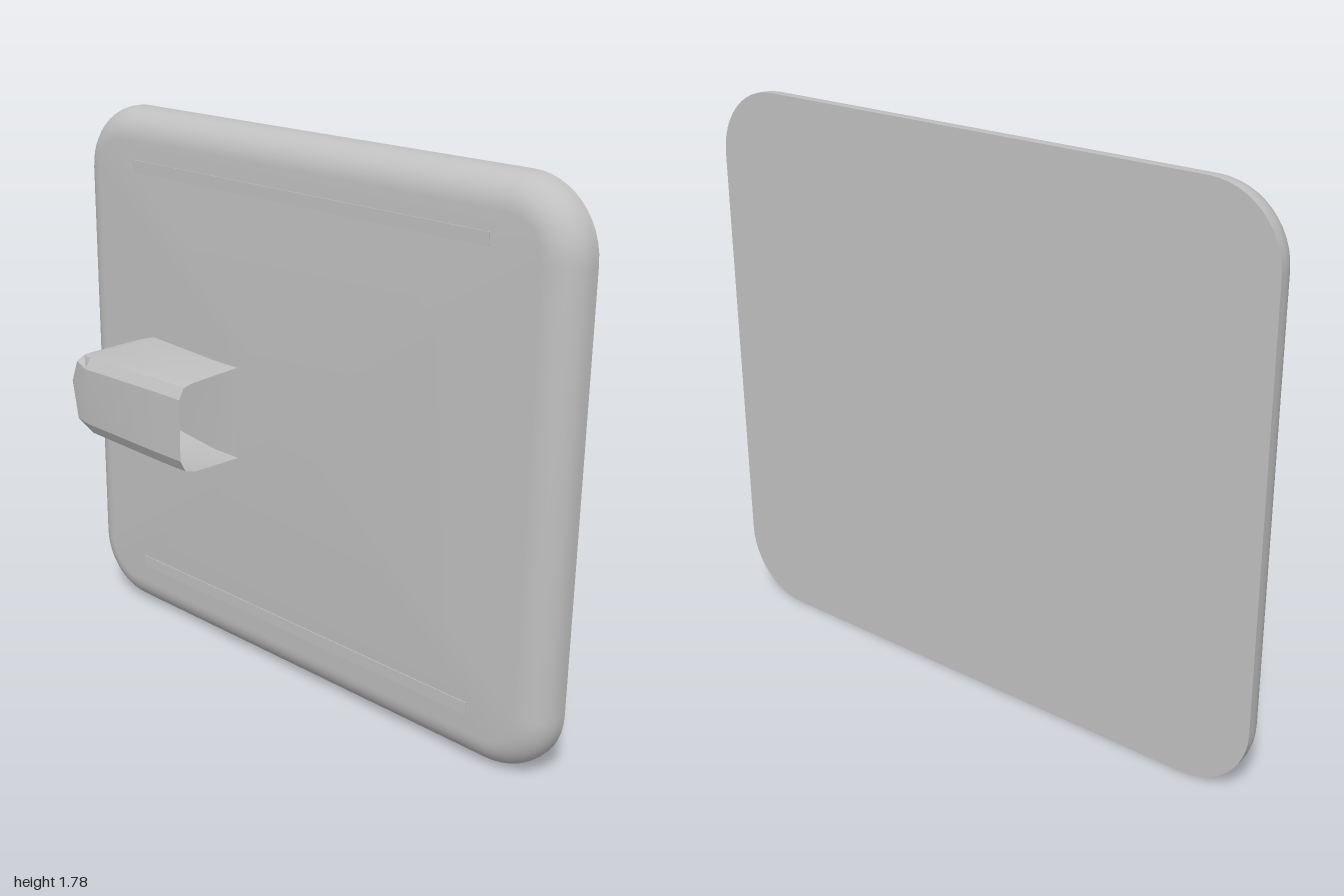
import * as THREE from 'three';
import { toCreasedNormals } from 'three/addons/utils/BufferGeometryUtils.js';

// Skin a series of closed rings of [x, y, z] points, with optional end caps
function loft(rings, capStart, capEnd, crease) {
  const n = rings[0].length;
  const pos = rings.flat(2);
  const index = [];
  for (let i = 0; i < rings.length - 1; i++) {
    for (let j = 0; j < n; j++) {
      const a = i * n + j, b = i * n + (j + 1) % n;
      index.push(a, b, b + n, a, b + n, a + n);
    }
  }
  const cap = (k, flip) => {
    const c = pos.length / 3;
    for (let d = 0; d < 3; d++) pos.push(rings[k].reduce((s, p) => s + p[d], 0) / n);
    for (let j = 0; j < n; j++) {
      const a = k * n + j, b = k * n + (j + 1) % n;
      if (flip) index.push(c, b, a); else index.push(c, a, b);
    }
  };
  if (capStart) cap(0, true);
  if (capEnd) cap(rings.length - 1, false);
  const g = new THREE.BufferGeometry();
  g.setAttribute('position', new THREE.Float32BufferAttribute(pos, 3));
  g.setIndex(index);
  return toCreasedNormals(g, crease);
}

// Rounded rectangle outline of the panel, pulled in by inset
function panelRing(inset, z) {
  const R = 0.22, r = R - inset, steps = 12, ring = [];
  const corners = [[1, 1], [-1, 1], [-1, -1], [1, -1]];
  corners.forEach(([sx, sy], q) => {
    for (let i = 0; i <= steps; i++) {
      const t = (q + i / steps) * Math.PI / 2;
      ring.push([sx * (1 - R) + r * Math.cos(t), 0.89 + sy * (0.89 - R) + r * Math.sin(t), z]);
    }
  });
  return ring;
}

export function createModel() {
  const group = new THREE.Group();
  const grey = new THREE.MeshStandardMaterial({ color: 0xc0c0c0, side: THREE.DoubleSide });
  grey.name = 'light grey';
  const add = (name, geometry) => {
    const m = new THREE.Mesh(geometry, grey);
    m.name = name;
    group.add(m);
    return m;
  };

  // Panel: flat back, softly rounded front rim
  const rings = [panelRing(0, -0.213)];
  for (let i = 0; i <= 10; i++) {
    const t = i / 10 * Math.PI / 2;
    rings.push(panelRing(0.1 * (1 - Math.cos(t)), -0.195 + 0.095 * Math.sin(t)));
  }
  add('panel', loft(rings, true, true, 0.6));

  // Faint raised strips along the top and bottom of the face
  for (const [name, y] of [['topStrip', 1.6], ['bottomStrip', 0.18]]) {
    add(name, new THREE.BoxGeometry(1.46, 0.04, 0.006)).position.set(0, y, -0.1);
  }

  // Handle: hollow tapered sleeve, open on the +x end. Section points are [z, y].
  const mouth = [[-0.035, 0.745], [0.15, 0.75], [0.19, 0.762], [0.21, 0.80], [0.21, 0.92],
    [0.21, 1.0], [0.19, 1.035], [0.15, 1.042], [-0.035, 1.048]];
  const section = (x, backZ, squeeze) => mouth.map(([z, y], i) =>
    [x, 0.9 + (y - 0.9) * squeeze, i === 0 || i === 8 ? backZ : z]);
  const tip = [[-0.72, 0.785, -0.095], [-0.715, 0.783, 0.12], [-0.715, 0.786, 0.15],
    [-0.71, 0.80, 0.185], [-0.747, 0.92, 0.175], [-0.705, 1.0, 0.185],
    [-0.71, 1.012, 0.15], [-0.715, 1.012, 0.12], [-0.72, 1.01, -0.095]];
  add('handle', loft([
    section(-0.175, -0.035, 1),
    section(-0.28, -0.035, 1),
    section(-0.63, -0.083, 0.94),
    tip,
  ], false, true, 0.35));

  return group;
}
